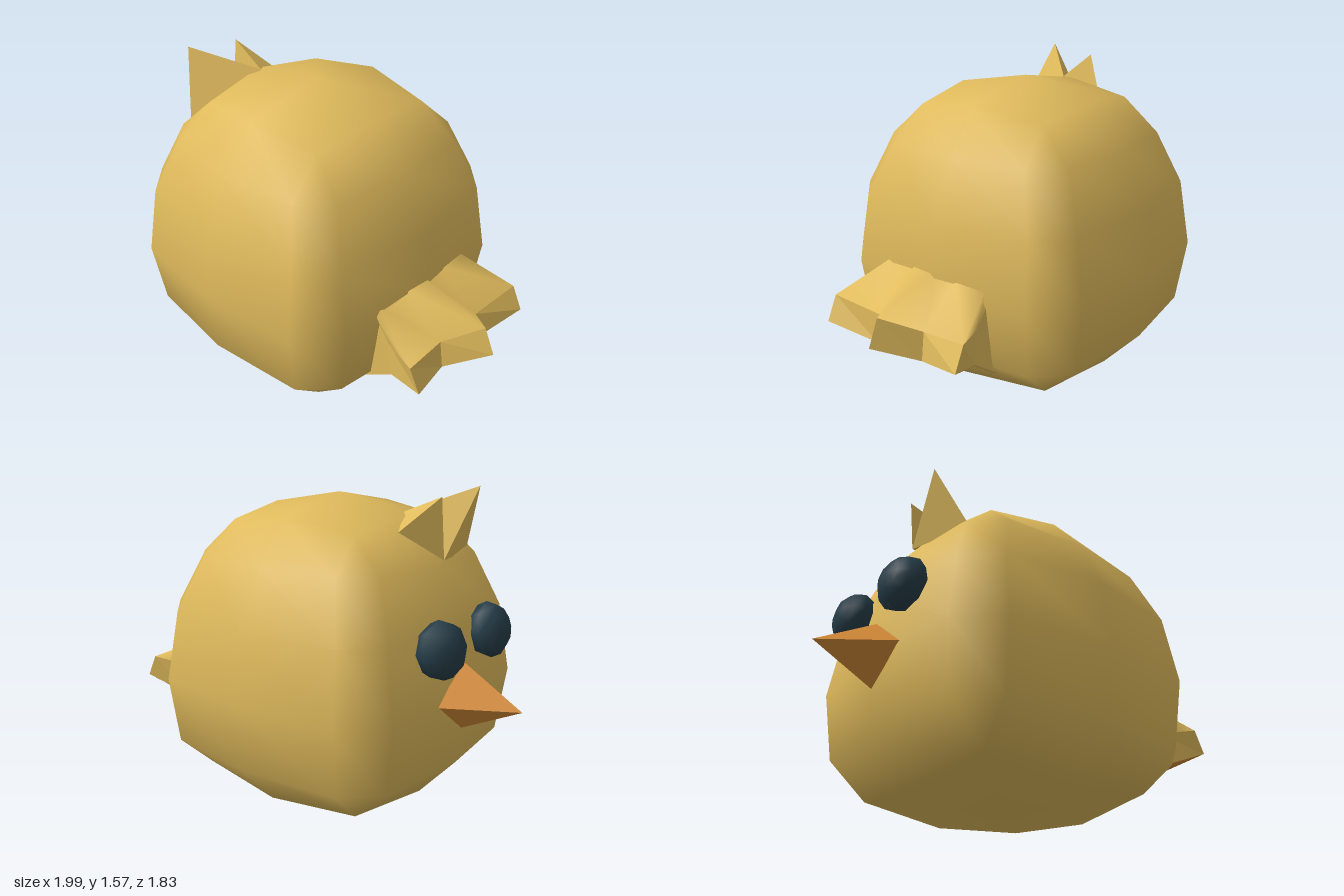
import * as THREE from 'three';
import { mergeVertices } from 'three/addons/utils/BufferGeometryUtils.js';
import { ConvexGeometry } from 'three/addons/geometries/ConvexGeometry.js';

const V = (x, y, z) => new THREE.Vector3(x, y, z);

const mat = (name, color) => {
  const m = new THREE.MeshStandardMaterial({ color });
  m.name = name;
  return m;
};

// Triangles between an upper and a lower row, both running left to right seen from outside
function strip(upper, lower) {
  const out = [];
  const tri = (a, b, c) => {
    if (new THREE.Triangle(a, b, c).getArea() > 1e-6) out.push(a, b, c);
  };
  for (let i = 0; i < upper.length - 1; i++) {
    tri(upper[i], lower[i], lower[i + 1]);
    tri(upper[i], lower[i + 1], upper[i + 1]);
  }
  return out;
}

function surface(points, smooth) {
  let g = new THREE.BufferGeometry().setFromPoints(points);
  if (smooth) g = mergeVertices(g, 1e-4);
  g.computeVertexNormals();
  return g;
}

// Rounded-square ring: m = mid-side distance, a and b = chamfered corner
function ring([yMid, yCorner, m, a, b]) {
  const pts = [];
  for (let k = 0; k < 4; k++) {
    for (const [x, z, y] of [[0, m, yMid], [b, a, yCorner], [a, b, yCorner]]) {
      const c = [1, 0, -1, 0][k], s = [0, 1, 0, -1][k];
      pts.push(V(x * c + z * s, y, z * c - x * s));
    }
  }
  pts.push(pts[0].clone());
  return pts;
}

export function createModel() {
  const model = new THREE.Group();
  model.name = 'chick';
  const bird = new THREE.Group();
  bird.name = 'bird';
  bird.position.set(-0.11, 0, -0.03);
  bird.rotation.y = Math.atan2(-0.82, -0.57);
  model.add(bird);

  const yellow = mat('yellow feathers', 0xdfba5c);
  const orange = mat('orange', 0xd38a38);
  const dark = mat('dark eye', 0x263d48);

  const add = (name, geometry, material) => {
    const mesh = new THREE.Mesh(geometry, material);
    mesh.name = name;
    bird.add(mesh);
    return mesh;
  };

  // Body: rounded cube, rings from bottom to top
  const rings = [
    [0, 0, 0, 0, 0],
    [0.04, 0.08, 0.53, 0.48, 0.48],
    [0.26, 0.26, 0.73, 0.67, 0.51],
    [0.6, 0.6, 0.77, 0.715, 0.53],
    [0.95, 0.95, 0.73, 0.66, 0.5],
    [1.22, 1.22, 0.6, 0.55, 0.41],
    [1.44, 1.39, 0.42, 0.37, 0.37],
    [1.52, 1.52, 0, 0, 0],
  ].map(ring);
  const bodyTris = [];
  for (let i = 0; i < rings.length - 1; i++) bodyTris.push(...strip(rings[i + 1], rings[i]));
  add('body', surface(bodyTris, true), yellow);

  // Tail: three-pointed wedge, half profile mirrored
  const mirrorRow = (half) => [
    ...half.map(([x, y, z]) => V(x, y, z)),
    ...half.slice(0, -1).reverse().map(([x, y, z]) => V(-x, y, z)),
  ];
  const rootTop = mirrorRow([[0.32, 0.66, -0.68], [0.3, 0.68, -0.7], [0.13, 0.69, -0.72], [0, 0.7, -0.72]]);
  const upper = mirrorRow([[0.32, 0.51, -0.8], [0.41, 0.55, -1.0], [0.14, 0.51, -0.965], [0, 0.6, -1.115]]);
  const lower = mirrorRow([[0.33, 0.34, -0.83], [0.41, 0.43, -1.06], [0.145, 0.37, -0.99], [0, 0.47, -1.175]]);
  const base = mirrorRow([[0.33, 0.34, -0.83], [0.31, 0.32, -0.81], [0.14, 0.31, -0.8], [0, 0.31, -0.8]]);
  const rootLow = mirrorRow([[0.32, 0.2, -0.64], [0.3, 0.2, -0.66], [0.13, 0.2, -0.67], [0, 0.2, -0.67]]);
  add('tailTop', surface(strip(rootTop, upper), true), yellow);
  add('tailEdge', surface([
    ...strip(upper, lower),
    ...strip(base, rootLow),
    ...strip([rootTop[0], upper[0]], [rootLow[0], lower[0]]),
    ...strip([upper[6], rootTop[6]], [lower[6], rootLow[6]]),
  ], false), yellow);
  add('tailUnderside', surface(strip(lower, base), false), orange);

  // Head tuft: two swept spikes
  const notch = V(0.03, 1.24, 0.6);
  const crown = V(0.02, 1.45, 0.376);
  add('largeTuftSpike', new ConvexGeometry([V(0.265, 1.57, 0.643), V(0.39, 1.22, 0.51), notch, crown]), yellow);
  add('smallTuftSpike', new ConvexGeometry([V(-0.01, 1.54, 0.6), notch, crown, V(-0.15, 1.38, 0.46)]), yellow);

  // Beak: four-sided pyramid
  add('beak', new ConvexGeometry([
    V(0, 0.79, 0.73), V(0.23, 0.61, 0.72), V(-0.23, 0.61, 0.72), V(0, 0.43, 0.72), V(0, 0.6, 1.06),
  ]), orange);

  // Eyes: flattened low-poly spheres
  for (const side of [1, -1]) {
    const g = new THREE.SphereGeometry(1, 8, 6).rotateX(Math.PI / 2).scale(0.14, 0.14, 0.1);
    const eye = add(side > 0 ? 'leftEye' : 'rightEye', g, dark);
    eye.position.set(0.22 * side, 0.89, 0.755);
    eye.rotation.set(-0.15, 0.12 * side, 0);
  }
  return model;
}
